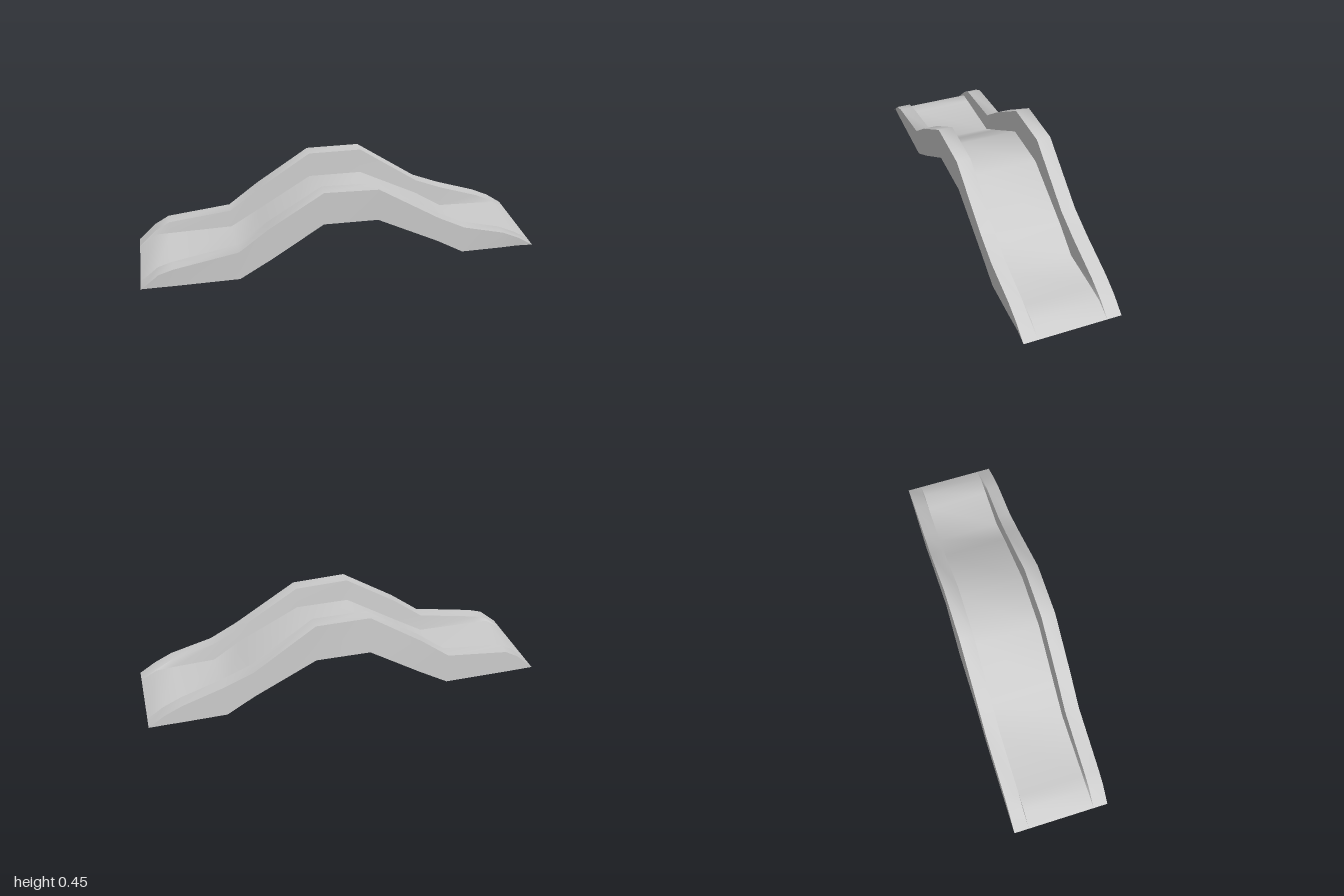
import * as THREE from 'three';
import { toCreasedNormals } from 'three/addons/utils/BufferGeometryUtils.js';

// Stations along the bridge: x, underside y, deck y, front rail y, back rail y,
// z of the front foot, z of the back foot
const STATIONS = [
  [-1, 0.005, 0.005, 0.005, 0.005, 0.245, -0.238],
  [-0.91, 0.004, 0.065, 0.078, 0.088, 0.245, -0.238],
  [-0.84, 0.003, 0.066, 0.1, 0.128, 0.245, -0.238],
  [-0.52, 0.002, 0.07, 0.158, 0.162, 0.245, -0.238],
  [-0.37, 0.09, 0.16, 0.27, 0.275, 0.244, -0.239],
  [-0.1, 0.262, 0.325, 0.437, 0.452, 0.243, -0.248],
  [0.17, 0.257, 0.322, 0.427, 0.45, 0.242, -0.239],
  [0.48, 0.1, 0.165, 0.235, 0.239, 0.24, -0.238],
  [0.62, 0.018, 0.075, 0.163, 0.182, 0.238, -0.238],
  [0.83, 0.016, 0.067, 0.108, 0.112, 0.236, -0.238],
  [0.92, 0.016, 0.06, 0.066, 0.07, 0.234, -0.238],
  [1, 0.015, 0.015, 0.015, 0.015, 0.233, -0.238],
];

// Cross-section as [z, y], from the front foot over both rails to the back foot
function section([, under, deck, front, back, zFront, zBack]) {
  return [
    [zFront, under],
    [zFront + 0.006, front],
    [0.178, front],
    [0.17, deck],
    [-0.163, deck],
    [-0.167, back],
    [-0.238, back],
    [zBack, under],
    [zFront, under],
  ];
}

// Skin between two points of the cross-section, swept along the bridge
function skin(name, from, to, material) {
  const positions = [];
  const indices = [];
  const width = to - from + 1;
  STATIONS.forEach((station, i) => {
    for (const [z, y] of section(station).slice(from, to + 1)) positions.push(station[0], y, z);
    if (i === 0) return;
    for (let j = 0; j < width - 1; j++) {
      const a = (i - 1) * width + j;
      const b = a + width;
      indices.push(a, b, b + 1, a, b + 1, a + 1);
    }
  });
  const geometry = new THREE.BufferGeometry();
  geometry.setAttribute('position', new THREE.Float32BufferAttribute(positions, 3));
  geometry.setIndex(indices);
  const mesh = new THREE.Mesh(toCreasedNormals(geometry, THREE.MathUtils.degToRad(48)), material);
  mesh.name = name;
  return mesh;
}

export function createModel() {
  const group = new THREE.Group();
  group.name = 'archedBridge';
  const material = new THREE.MeshStandardMaterial({ color: 0xcccccc, side: THREE.DoubleSide });
  group.add(
    skin('frontRail', 0, 3, material),
    skin('deck', 3, 4, material),
    skin('backRail', 4, 7, material),
    skin('underside', 7, 8, material),
  );
  return group;
}
